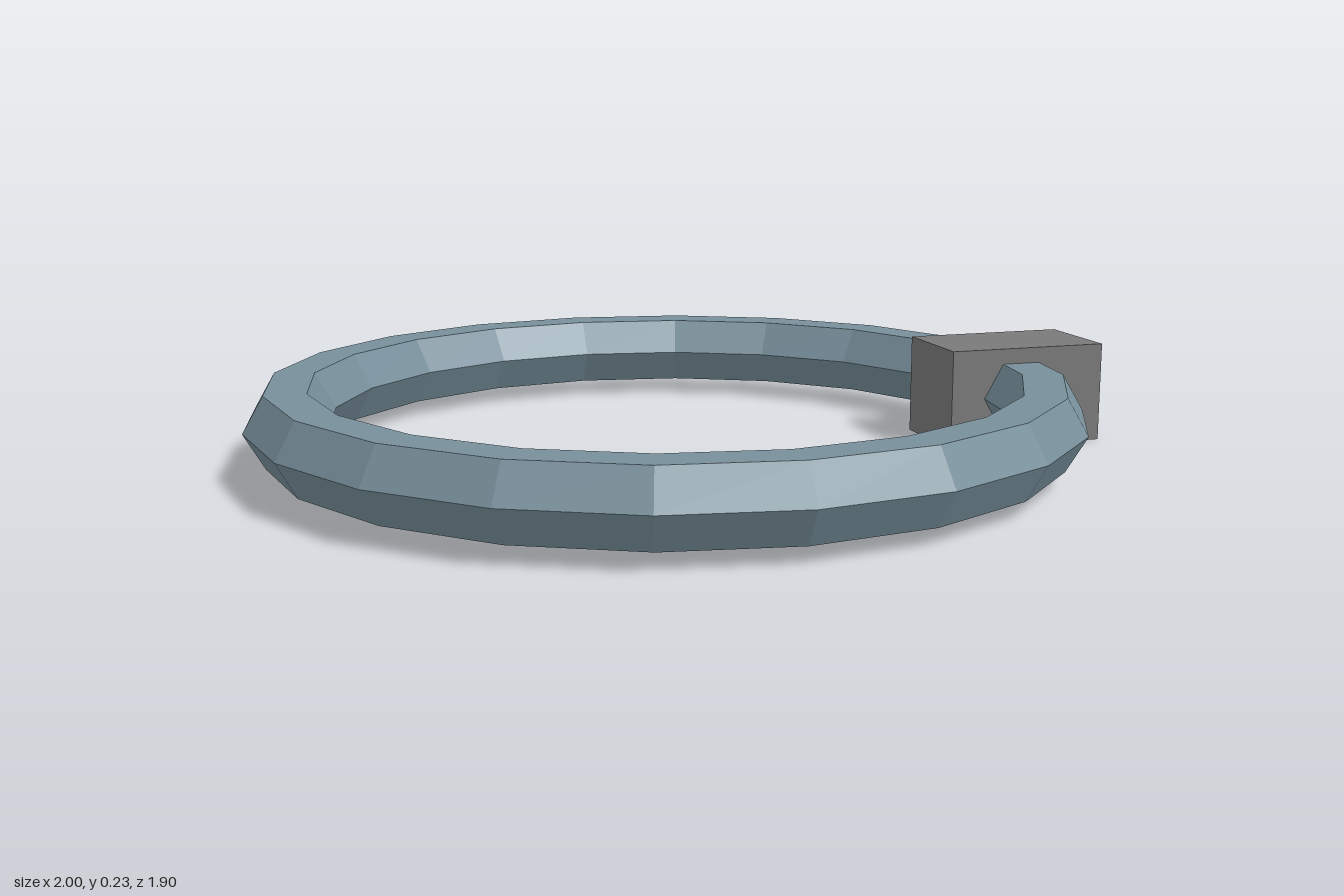
import * as THREE from 'three';

export function createModel() {
  const group = new THREE.Group();
  const steel = new THREE.MeshStandardMaterial({ color: 0x78909c, flatShading: true });
  steel.name = 'blue grey steel';
  const grey = new THREE.MeshStandardMaterial({ color: 0x7a7a7a, flatShading: true });
  grey.name = 'mid grey';

  const midY = 0.117, ringX = -0.051, ringRadius = 0.856;

  // Faceted ring lying flat: hexagonal section, twenty segments
  const ring = new THREE.Mesh(new THREE.TorusGeometry(ringRadius, 0.093, 6, 20), steel);
  ring.name = 'ring';
  ring.rotation.x = Math.PI / 2;
  ring.position.set(ringX, midY, 0);
  group.add(ring);

  // Block clasped around the ring on its left side
  const clasp = new THREE.Mesh(new THREE.BoxGeometry(0.39, 0.234, 0.234), grey);
  clasp.name = 'clasp';
  clasp.position.set(ringX + ringRadius, midY, 0);
  group.add(clasp);

  return group;
}
